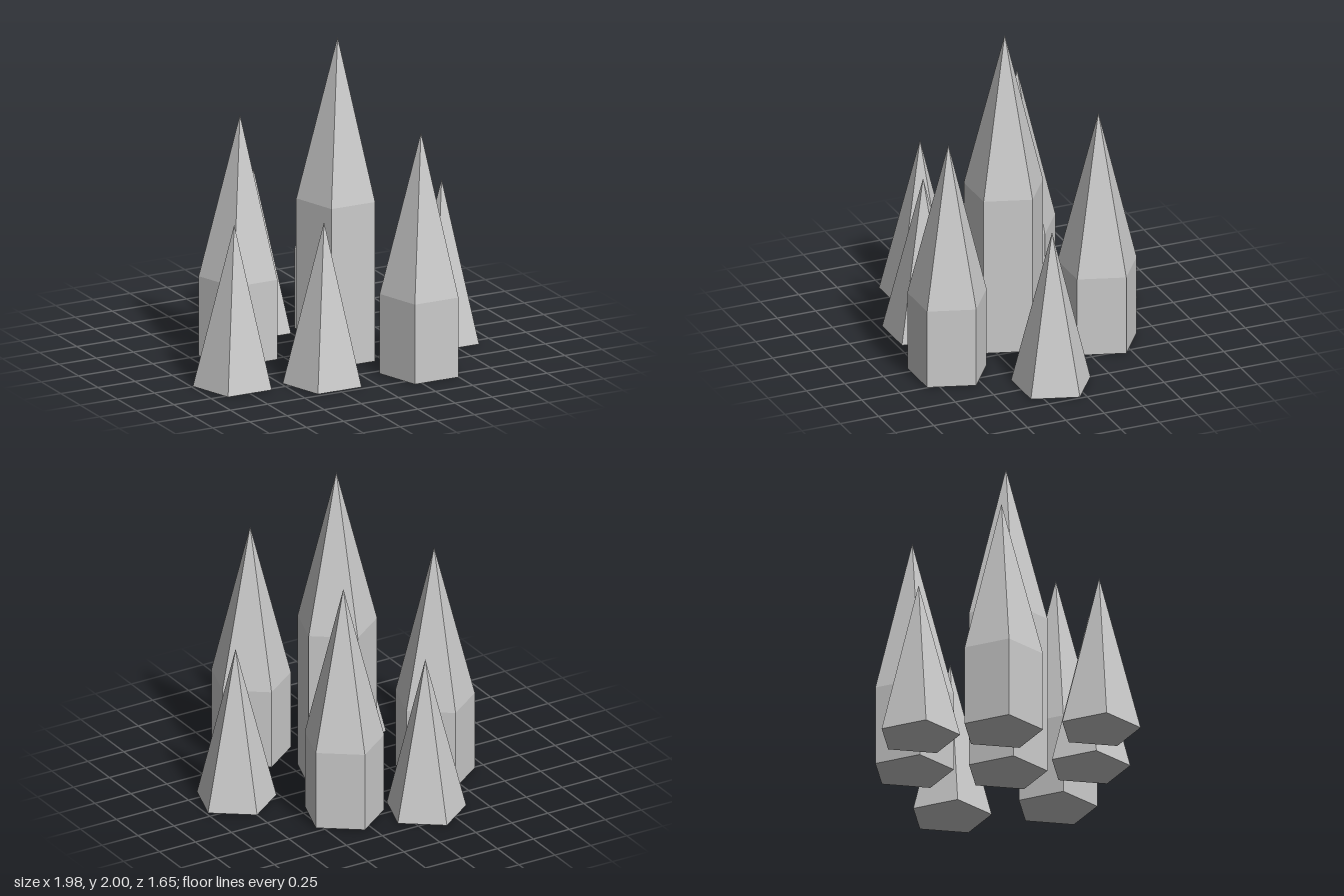
import * as THREE from 'three';

const RADIUS = 0.25, TIP = 1, SIDES = 5;

// x, z, height of the straight column below the pointed tip
const CRYSTALS = [
  [0.05, 0.12, 1],
  [-0.45, -0.18, 0.5],
  [0.30, -0.38, 0.5],
  [0.35, 0.62, 0.5],
  [-0.15, -0.58, 0],
  [0.75, 0.12, 0],
  [-0.75, 0.32, 0],
  [-0.25, 0.52, 0],
];

// Split the faces so each facet has its own flat normal
function faceted(geometry) {
  const flat = geometry.toNonIndexed();
  flat.computeVertexNormals();
  return flat;
}

export function createModel() {
  const material = new THREE.MeshStandardMaterial({ color: 0xcccccc, flatShading: true });
  const group = new THREE.Group();
  group.name = 'crystalCluster';

  CRYSTALS.forEach(([x, z, columnHeight], i) => {
    const crystal = new THREE.Group();
    crystal.name = `crystal${i + 1}`;
    crystal.position.set(x, 0, z);
    crystal.rotation.y = Math.PI; // one pentagon corner points to the back

    // Pointed tip, closed underneath when it stands on the ground
    const tip = new THREE.Mesh(
      faceted(new THREE.ConeGeometry(RADIUS, TIP, SIDES, 1, columnHeight > 0)), material);
    tip.name = 'tip';
    tip.position.y = columnHeight + TIP / 2;
    crystal.add(tip);

    // Five-sided column below the taller tips
    if (columnHeight > 0) {
      const column = new THREE.Mesh(
        faceted(new THREE.CylinderGeometry(RADIUS, RADIUS, columnHeight, SIDES)), material);
      column.name = 'column';
      column.position.y = columnHeight / 2;
      crystal.add(column);
    }
    group.add(crystal);
  });

  return group;
}
